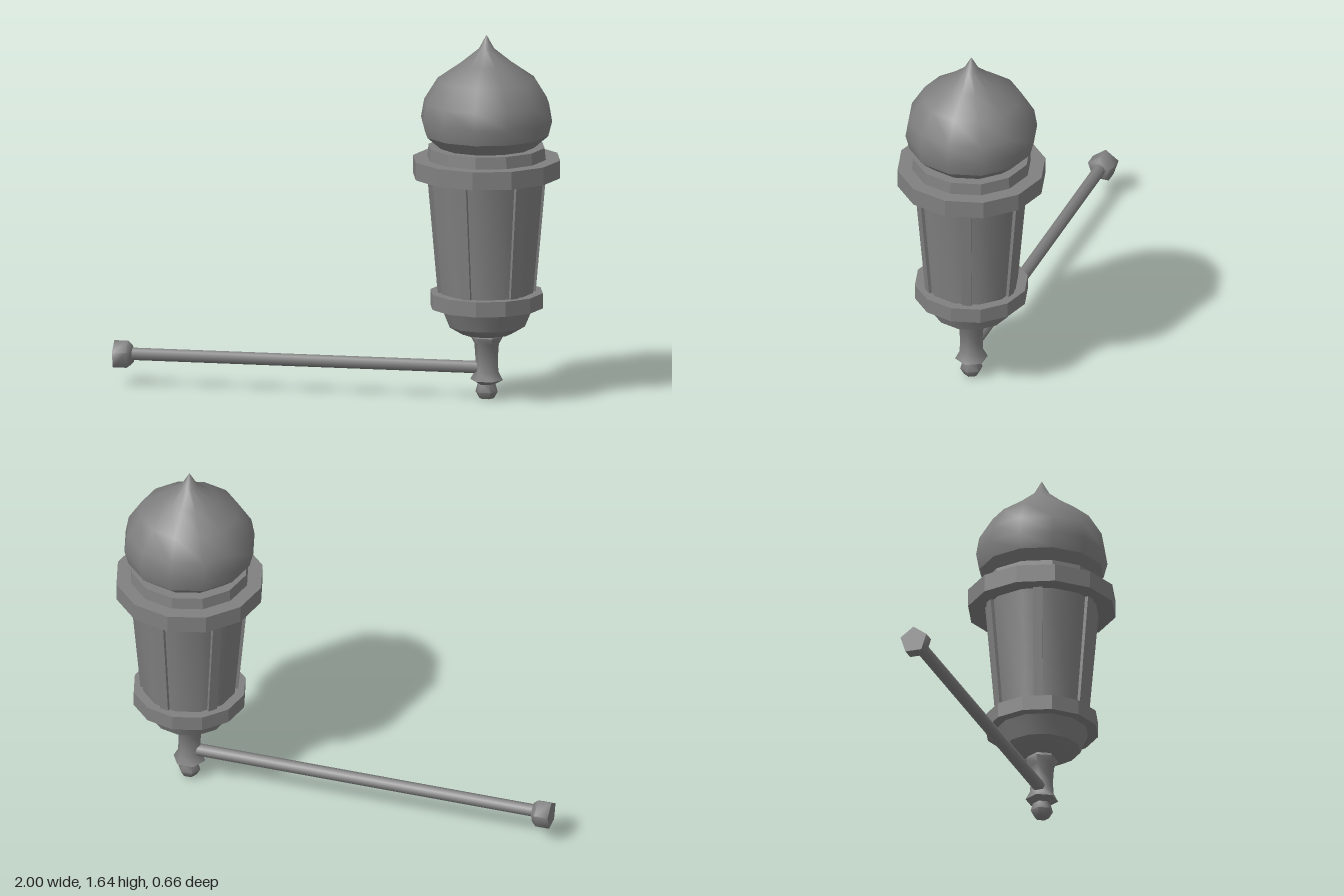
import * as THREE from 'three';
import { toCreasedNormals } from 'three/addons/utils/BufferGeometryUtils.js';

const material = new THREE.MeshStandardMaterial({ color: 0x808080 });

// Turned part from [radius, y] pairs, bottom to top; edges sharper than crease stay hard
function turned(name, profile, sides, crease, turn = 0) {
  const points = profile.map(([r, y]) => new THREE.Vector2(r, y));
  const geometry = toCreasedNormals(new THREE.LatheGeometry(points, sides), crease);
  geometry.rotateY(turn);
  const mesh = new THREE.Mesh(geometry, material);
  mesh.name = name;
  return mesh;
}

// Closed straight-sided ring
const band = (name, r0, y0, r1, y1) =>
  turned(name, [[0, y0], [r0, y0], [r1, y1], [0, y1]], 12, 0.4);

export function createModel() {
  const model = new THREE.Group();
  model.name = 'wallLantern';

  const lantern = new THREE.Group();
  lantern.name = 'lantern';
  lantern.position.x = 0.669;
  model.add(lantern);

  // Turned stem with finial under the lantern
  lantern.add(turned('stem', [
    [0, 0], [0.033, 0.005], [0.05, 0.035], [0.04, 0.07], [0.073, 0.088],
    [0.053, 0.125], [0.05, 0.18], [0.055, 0.25], [0.073, 0.282], [0.06, 0.298], [0, 0.298],
  ], 6, 1.1, Math.PI / 6));

  // Bowl, rings and glass
  lantern.add(turned('bowl', [[0, 0.297], [0.112, 0.297], [0.172, 0.333], [0.209, 0.422], [0, 0.422]], 12, 0.6));
  lantern.add(band('lowerRing', 0.252, 0.417, 0.252, 0.485));
  lantern.add(turned('glass', [[0.208, 0.48], [0.254, 1.01]], 12, 0.6));
  lantern.add(band('upperRing', 0.33, 1.005, 0.33, 1.085));
  lantern.add(band('collar', 0.266, 1.08, 0.26, 1.138));

  // Six slim ribs leaning outward with the glass
  for (let i = 0; i < 6; i++) {
    const pivot = new THREE.Group();
    pivot.name = 'rib' + (i + 1);
    pivot.rotation.y = -0.25 + (i * Math.PI) / 3;
    const bar = new THREE.Mesh(new THREE.BoxGeometry(0.042, 0.53, 0.04), material);
    bar.name = 'ribBar';
    bar.position.set(0, 0.745, 0.218);
    bar.rotation.x = 0.087;
    pivot.add(bar);
    lantern.add(pivot);
  }

  // Onion dome with a hard edge above its base
  lantern.add(turned('domeBase', [[0, 1.135], [0.21, 1.135], [0.276, 1.192]], 12, 0.6));
  lantern.add(turned('dome', [
    [0.276, 1.192], [0.294, 1.26], [0.28, 1.34],
    [0.22, 1.437], [0.115, 1.51], [0.035, 1.575], [0, 1.638],
  ], 12, 1.2));

  // Horizontal arm
  const arm = new THREE.Mesh(new THREE.CylinderGeometry(0.028, 0.028, 1.6, 8), material);
  arm.name = 'arm';
  arm.rotation.z = Math.PI / 2;
  arm.position.set(-0.15, 0.142, 0);
  model.add(arm);

  // Five-sided end cap, axis turned along x and one corner up
  const cap = turned('endCap', [[0, 0], [0.0635, 0], [0.0635, 0.062], [0.046, 0.082], [0, 0.082]],
    5, 1.3, -Math.PI / 2);
  cap.rotation.z = -Math.PI / 2;
  cap.position.set(-1, 0.137, 0);
  model.add(cap);

  return model;
}
